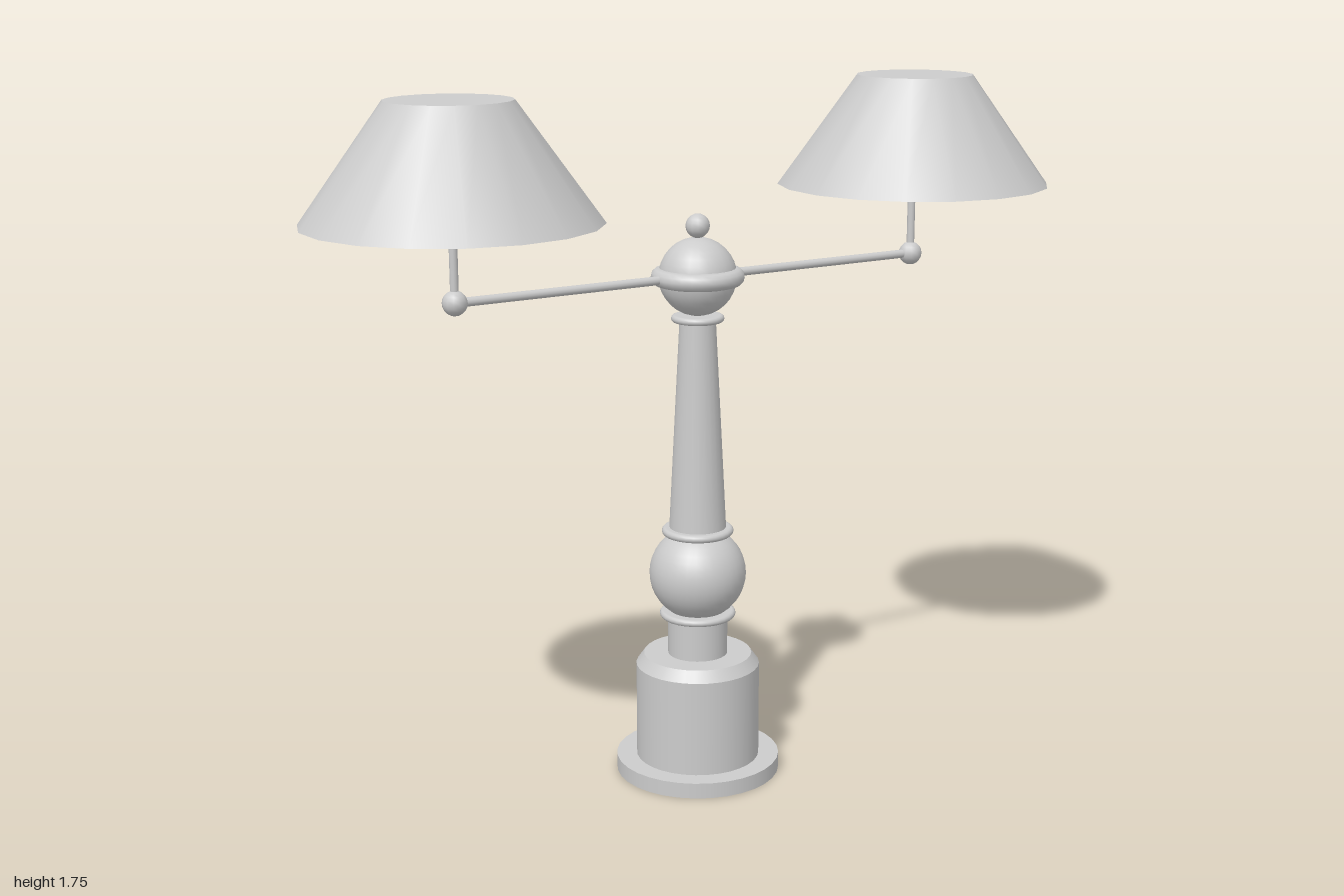
import * as THREE from 'three';

export function createModel() {
  const group = new THREE.Group();
  const material = new THREE.MeshStandardMaterial({ color: 0xcccccc });

  function add(name, geometry, x, y) {
    const mesh = new THREE.Mesh(geometry, material);
    mesh.name = name;
    mesh.position.set(x, y, 0);
    group.add(mesh);
    return mesh;
  }
  // Upright cylinder or cone between two heights
  const turned = (name, rBottom, rTop, y0, y1, sides = 32, x = 0) =>
    add(name, new THREE.CylinderGeometry(rTop, rBottom, y1 - y0, sides), x, (y0 + y1) / 2);
  const ball = (name, r, x, y, w = 24, h = 16) =>
    add(name, new THREE.SphereGeometry(r, w, h), x, y);
  // Collar with a softly rounded rim
  function collar(name, r, y, height) {
    const h = height / 2;
    const points = [new THREE.Vector2(0, -h)];
    for (let i = 0; i <= 6; i++) {
      const a = -Math.PI / 2 + (i / 6) * Math.PI;
      points.push(new THREE.Vector2(r - h + Math.cos(a) * h, Math.sin(a) * h));
    }
    points.push(new THREE.Vector2(0, h));
    return add(name, new THREE.LatheGeometry(points, 28), 0, y);
  }

  // Foot and pedestal
  turned('footPlate', 0.21, 0.21, 0, 0.04);
  turned('pedestal', 0.158, 0.158, 0.04, 0.287);
  turned('pedestalBevel', 0.158, 0.138, 0.287, 0.315);
  turned('neck', 0.076, 0.076, 0.315, 0.42);

  // Turned bulb between two collars
  collar('lowerCollar', 0.097, 0.422, 0.018);
  const bulb = ball('bulb', 0.123, 0, 0.53, 32, 20);
  bulb.scale.y = 0.98;
  collar('upperCollar', 0.091, 0.642, 0.02);

  // Tapered column
  turned('column', 0.072, 0.045, 0.65, 1.185, 24);
  collar('columnCap', 0.066, 1.189, 0.018);

  // Hub with band and finial
  ball('hub', 0.097, 0, 1.293);
  collar('hubBand', 0.116, 1.293, 0.044);
  ball('finial', 0.03, 0, 1.418, 12, 10);

  // Arms, joints, stems and closed shades
  for (const side of [-1, 1]) {
    const prefix = side > 0 ? 'left' : 'right';
    const x = side * 0.655;
    const arm = add(prefix + 'Arm', new THREE.CylinderGeometry(0.011, 0.011, 0.655, 12), x / 2, 1.293);
    arm.rotation.z = Math.PI / 2;
    ball(prefix + 'Joint', 0.03, x, 1.293, 12, 10);
    turned(prefix + 'Stem', 0.01, 0.01, 1.293, 1.48, 12, x);
    turned(prefix + 'Shade', 0.35, 0.149, 1.476, 1.755, 18, x);
  }

  return group;
}
